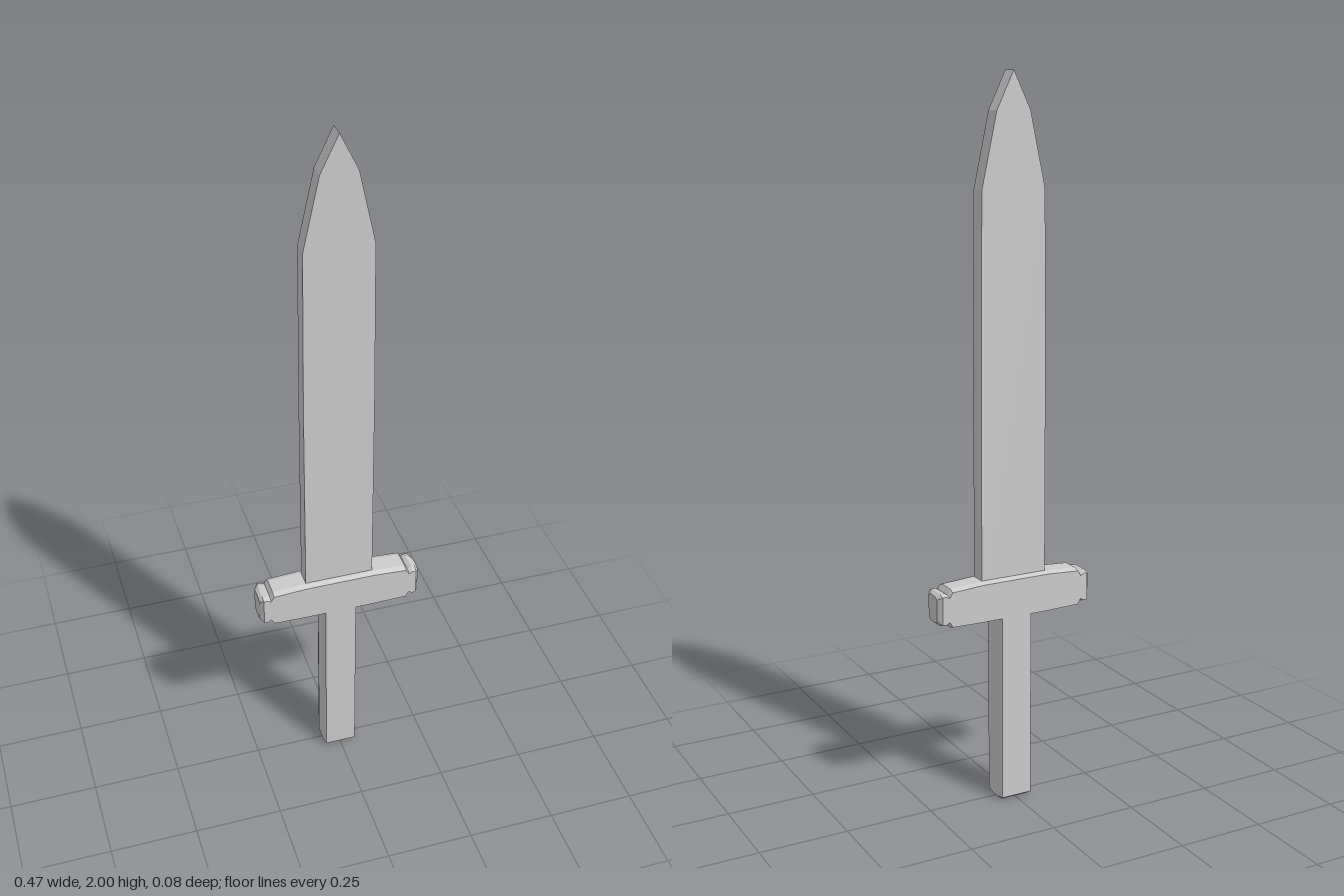
import * as THREE from 'three';

const material = new THREE.MeshStandardMaterial({ color: 0xcccccc, flatShading: true });

// Bevelled cross-section as [up, depth] pairs, wide bevel in depth, shallow in height
function section(top, bottom, z, bevelY, bevelZ) {
  const w = z - bevelZ;
  return [
    [top, w], [top, -w], [top - bevelY, -z], [bottom + bevelY, -z],
    [bottom, -w], [bottom, w], [bottom + bevelY, z], [top - bevelY, z],
  ];
}

// Skins rings of points, running along +x, and caps both ends
function loft(rings) {
  const n = rings[0].length;
  const positions = rings.flat(2);
  const index = [];
  for (let r = 0; r < rings.length - 1; r++) {
    for (let i = 0; i < n; i++) {
      const a = r * n + i, b = r * n + (i + 1) % n;
      index.push(a, a + n, b, b, a + n, b + n);
    }
  }
  const last = (rings.length - 1) * n;
  for (let i = 1; i < n - 1; i++) {
    index.push(0, i, i + 1);
    index.push(last, last + i + 1, last + i);
  }
  const geometry = new THREE.BufferGeometry();
  geometry.setAttribute('position', new THREE.Float32BufferAttribute(positions, 3));
  geometry.setIndex(index);
  const flat = geometry.toNonIndexed();
  flat.computeVertexNormals();
  return flat;
}

function addPart(group, name, geometry) {
  const mesh = new THREE.Mesh(geometry, material);
  mesh.name = name;
  group.add(mesh);
}

export function createModel() {
  const group = new THREE.Group();
  group.name = 'sword';

  // Blade: flat slab with a two-step taper to the point
  const half = [[0.098, 0.6], [0.097, 1.25], [0.093, 1.7], [0.049, 1.9]];
  const outline = [
    ...half, [0, 2], ...half.slice().reverse().map(([x, y]) => [-x, y]),
  ].map(([x, y]) => new THREE.Vector2(x, y));
  const blade = new THREE.ExtrudeGeometry(new THREE.Shape(outline), { depth: 0.046, bevelEnabled: false });
  blade.translate(0, 0, -0.023);
  addPart(group, 'blade', blade);

  // Guard: bevelled bar with a groove before each chamfered end
  // x, top, bottom, half depth
  const side = [
    [0.1, 0.653, 0.535, 0.041],
    [0.195, 0.647, 0.537, 0.041],
    [0.204, 0.632, 0.552, 0.041],
    [0.215, 0.638, 0.546, 0.041],
    [0.225, 0.637, 0.547, 0.041],
    [0.235, 0.629, 0.554, 0.026],
  ];
  const stations = [...side.slice().reverse().map(([x, ...rest]) => [-x, ...rest]), ...side];
  addPart(group, 'guard', loft(stations.map(([x, top, bottom, z]) =>
    section(top, bottom, z, 0.006, 0.016).map(([y, d]) => [x, y, d]))));

  // Grip: bevelled bar, lofted along its length with a chamfered foot
  const gripStations = [[0, 0.045, 0.03], [0.008, 0.049, 0.041], [0.56, 0.049, 0.041]];
  const grip = loft(gripStations.map(([y, w, z]) =>
    section(w, -w, z, 0.004, 0.018).map(([x, d]) => [y, x, d])));
  grip.rotateZ(Math.PI / 2);
  addPart(group, 'grip', grip);

  return group;
}
